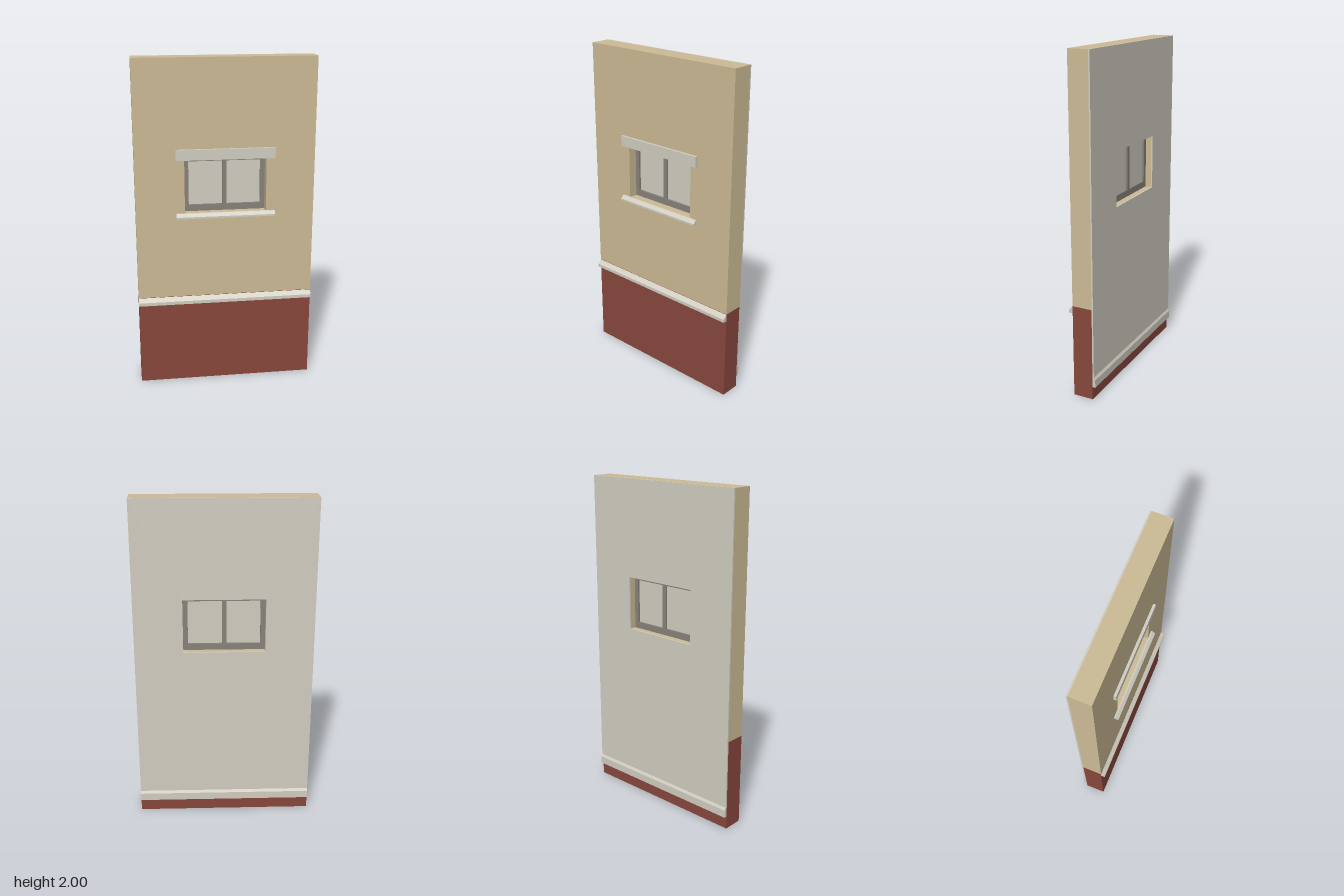
import * as THREE from 'three';

const W = 0.533;                                   // half width of the wall
const FRONT = 0.057, BACK = -0.066, PLASTER = -0.075;
const WIN = { x: 0.243, bottom: 1.09, top: 1.415 }; // window opening

function material(name, color) {
  const m = new THREE.MeshStandardMaterial({ color });
  m.name = name;
  return m;
}

export function createModel() {
  const group = new THREE.Group();
  group.name = 'wallSection';
  const render = material('tan render', 0xccbb95);
  const brick = material('red brick', 0x88473c);
  const trim = material('pale trim', 0xd2cec2);
  const frame = material('grey frame', 0x88827a);

  const add = (name, geometry, mat) => {
    const mesh = new THREE.Mesh(geometry, mat);
    mesh.name = name;
    group.add(mesh);
    return mesh;
  };

  // Box given by its limits
  const box = (name, mat, x0, x1, y0, y1, z0, z1) =>
    add(name, new THREE.BoxGeometry(x1 - x0, y1 - y0, z1 - z0), mat)
      .position.set((x0 + x1) / 2, (y0 + y1) / 2, (z0 + z1) / 2);

  // Rectangular slab with a rectangular hole
  const slab = (name, mat, o, h, z0, z1) => {
    const corners = ([x, y0, y1]) => [[-x, y0], [x, y0], [x, y1], [-x, y1]]
      .map(([a, b]) => new THREE.Vector2(a, b));
    const shape = new THREE.Shape(corners(o));
    shape.holes.push(new THREE.Path(corners(h).reverse()));
    const g = new THREE.ExtrudeGeometry(shape, { depth: z1 - z0, bevelEnabled: false });
    add(name, g.translate(0, 0, z0), mat);
  };

  // Moulding: a (z, y) profile swept along x
  const moulding = (name, half, profile) => {
    const shape = new THREE.Shape(profile.map(([z, y]) => new THREE.Vector2(-z, y)));
    const g = new THREE.ExtrudeGeometry(shape, { depth: half * 2, bevelEnabled: false });
    add(name, g.translate(0, 0, -half).rotateY(Math.PI / 2).scale(1, 1, 1), trim);
  };

  // Wall core, brick base and inner plaster
  const opening = [WIN.x, WIN.bottom, WIN.top];
  slab('upperWall', render, [W, 0.565, 2], opening, BACK, FRONT);
  box('brickBase', brick, -W, W, 0, 0.565, BACK, FRONT);
  slab('innerPlaster', trim, [W, 0.08, 2], opening, PLASTER, BACK);

  // Mouldings
  moulding('beltCourse', W, [[FRONT, 0.52], [0.081, 0.52], [0.081, 0.54], [FRONT, 0.563]]);
  moulding('windowSill', 0.295, [[FRONT, 1.065], [0.084, 1.065], [0.084, 1.076], [0.066, 1.094], [FRONT, 1.094]]);
  moulding('baseboard', W, [[PLASTER, 0.08], [-0.084, 0.08], [-0.084, 0.127], [PLASTER, 0.143]]);
  box('lintel', trim, -0.293, 0.293, WIN.top, 1.478, FRONT, 0.073);

  // Window frame, mullion and panes
  const z0 = -0.03, z1 = 0.002;
  slab('windowFrame', frame, opening, [0.215, 1.129, 1.394], z0, z1);
  box('mullion', frame, -0.013, 0.013, 1.129, 1.394, z0, z1);
  for (const s of [-1, 1]) {
    const a = s * 0.013, b = s * 0.215;
    box(s > 0 ? 'leftPane' : 'rightPane', trim, Math.min(a, b), Math.max(a, b), 1.129, 1.394, -0.018, -0.01);
  }
  return group;
}
